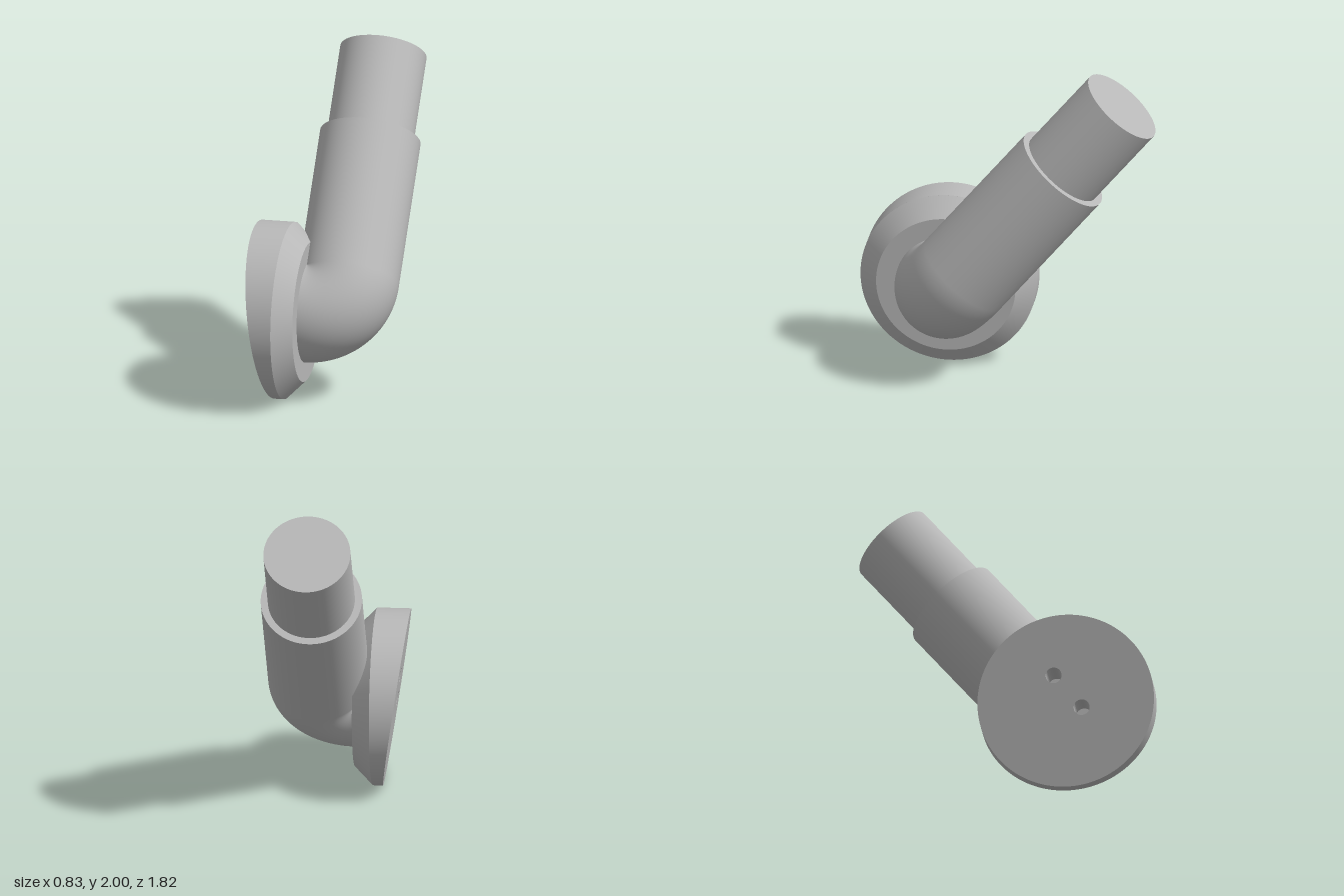
import * as THREE from 'three';
import { toCreasedNormals } from 'three/addons/utils/BufferGeometryUtils.js';

export function createModel() {
  const model = new THREE.Group();
  model.name = 'wallElbowFitting';
  const grey = new THREE.MeshStandardMaterial({ color: 0xb8b8b8 });
  grey.name = 'grey';

  const add = (parent, name, geometry, x = 0, y = 0, z = 0) => {
    const mesh = new THREE.Mesh(geometry, grey);
    mesh.name = name;
    mesh.position.set(x, y, z);
    parent.add(mesh);
  };

  const axisY = 0.53, axisZ = 0.385;   // flange centre
  const flangeR = 0.53, rimX = -0.215, frontX = -0.105;

  // Flange: its axis runs along x
  const flange = new THREE.Group();
  flange.name = 'flange';
  flange.position.set(0, axisY, axisZ);
  model.add(flange);

  const bevel = new THREE.CylinderGeometry(0.42, flangeR, frontX - rimX, 96);
  bevel.rotateZ(-Math.PI / 2);
  add(flange, 'flangeBevel', bevel, (rimX + frontX) / 2);

  // Wedge-shaped back plate with two screw holes
  const disc = new THREE.Shape();
  disc.absarc(0, 0, flangeR, 0, Math.PI * 2, false);
  for (const [z, y] of [[-0.07, 0.16], [0.095, -0.045]]) {
    const hole = new THREE.Path();
    hole.absarc(z, y, 0.048, 0, Math.PI * 2, true);
    disc.holes.push(hole);
  }
  let plate = new THREE.ExtrudeGeometry(disc, { depth: 0.1, bevelEnabled: false, curveSegments: 96 });
  plate.rotateY(-Math.PI / 2);
  const pos = plate.attributes.position;
  for (let i = 0; i < pos.count; i++) {
    // slope the back face: thick at the top, thin at the bottom
    const back = pos.getX(i) < -0.05;
    pos.setX(i, back ? -0.345 - 0.1415 * pos.getY(i) : rimX);
  }
  plate.deleteAttribute('normal');
  plate = toCreasedNormals(plate, 0.5);
  add(flange, 'flangeBackPlate', plate);

  // Pipe: local y follows the pipe, leaning back 40 degrees
  const pipe = new THREE.Group();
  pipe.name = 'pipe';
  pipe.position.set(0, axisY, axisZ);
  pipe.rotation.x = -THREE.MathUtils.degToRad(40);
  model.add(pipe);

  const pipeX = 0.1125, pipeR = 0.3025, bendR = pipeX - frontX;
  const elbow = new THREE.TorusGeometry(bendR, pipeR, 96, 48, Math.PI / 2);
  elbow.rotateZ(-Math.PI / 2);
  add(pipe, 'elbow', elbow, frontX, bendR);

  const tube = (name, radius, from, to) =>
    add(pipe, name, new THREE.CylinderGeometry(radius, radius, to - from, 96), pipeX, (from + to) / 2);
  tube('outerSleeve', pipeR, bendR, 1.147);
  tube('innerTube', 0.26, 1.0, 1.7);

  return model;
}
